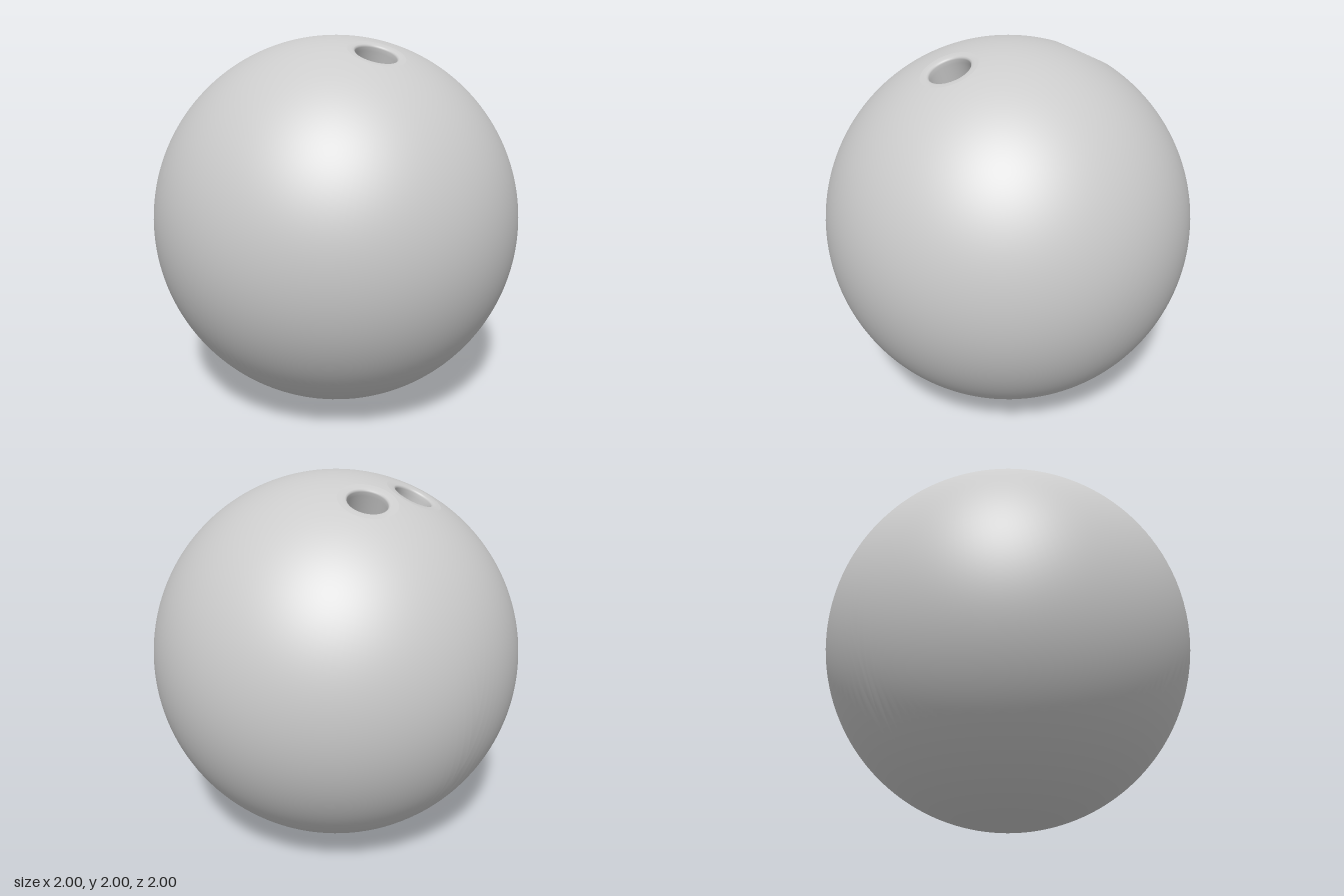
import * as THREE from 'three';

const AROUND = 128, RINGS = 64, LIP = 0.15;

// Hole axes: two finger holes and one thumb hole
const holes = [
  { name: 'fingerHoleRight', axis: [-0.375, 0.9, -0.215], radius: 0.1, depth: 0.42 },
  { name: 'fingerHoleLeft', axis: [-0.11, 0.9, -0.407], radius: 0.1, depth: 0.42 },
  { name: 'thumbHole', axis: [0.22, 0.92, 0.315], radius: 0.107, depth: 0.56 },
].map((h) => ({ ...h, axis: new THREE.Vector3(...h.axis).normalize() }));

// The direction equally far from all three holes
const [a, b, c] = holes.map((h) => h.axis);
const middle = b.clone().sub(a).cross(c.clone().sub(a)).normalize();

// Part of the ball's skin nearest to one hole: rings grow from the lip
// to the planes halfway to the other holes, so the three parts meet exactly.
function skinGeometry(hole, u, v) {
  const others = holes.filter((h) => h !== hole).map((h) => h.axis.clone().sub(hole.axis));
  const start = Math.asin(LIP);
  const positions = [], index = [];
  for (let j = 0; j < AROUND; j++) {
    const angle = (j / AROUND) * Math.PI * 2;
    const dir = u.clone().multiplyScalar(Math.cos(angle)).addScaledVector(v, Math.sin(angle));
    const end = Math.min(...others.map((n) => Math.atan2(-n.dot(hole.axis), n.dot(dir))));
    for (let i = 0; i <= RINGS; i++) {
      const t = start + (end - start) * (i / RINGS);
      const p = hole.axis.clone().multiplyScalar(Math.cos(t)).addScaledVector(dir, Math.sin(t));
      positions.push(p.x, p.y, p.z);
      if (i === RINGS) continue;
      const here = j * (RINGS + 1) + i;
      const next = ((j + 1) % AROUND) * (RINGS + 1) + i;
      index.push(here, next, here + 1, next, next + 1, here + 1);
    }
  }
  const geometry = new THREE.BufferGeometry();
  geometry.setAttribute('position', new THREE.Float32BufferAttribute(positions, 3));
  // On a unit sphere the normal equals the position
  geometry.setAttribute('normal', new THREE.Float32BufferAttribute(positions, 3));
  geometry.setIndex(index);
  return geometry;
}

export function createModel() {
  const material = new THREE.MeshStandardMaterial({ color: 0xcccccc, roughness: 0.6 });
  const model = new THREE.Group();
  model.name = 'ball';
  const ball = new THREE.Group();
  ball.position.y = 1;
  model.add(ball);

  const add = (parent, name, geometry) => {
    const mesh = new THREE.Mesh(geometry, material);
    mesh.name = name;
    parent.add(mesh);
    return mesh;
  };

  for (const hole of holes) {
    // Frame of the hole, with its axis as y
    const u = middle.clone().addScaledVector(hole.axis, -middle.dot(hole.axis)).normalize();
    const v = u.clone().cross(hole.axis);
    add(ball, 'ballSurface', skinGeometry(hole, u, v));

    const group = new THREE.Group();
    group.name = hole.name;
    group.quaternion.setFromRotationMatrix(new THREE.Matrix4().makeBasis(u, hole.axis, v));
    ball.add(group);

    // Softened lip running into the straight wall
    const r = hole.radius, bottom = 1 - hole.depth;
    const profile = [
      [LIP, Math.sqrt(1 - LIP * LIP)], [0.13, 0.9885], [r + 0.01, 0.987],
      [r + 0.003, 0.983], [r, 0.975], [r, 0.955], [r, bottom],
    ].map(([x, y]) => new THREE.Vector2(x, y));
    add(group, 'holeWall', new THREE.LatheGeometry(profile, AROUND));

    const floor = add(group, 'holeFloor', new THREE.CircleGeometry(r, AROUND));
    floor.rotation.x = -Math.PI / 2;
    floor.position.y = bottom;
  }
  return model;
}
